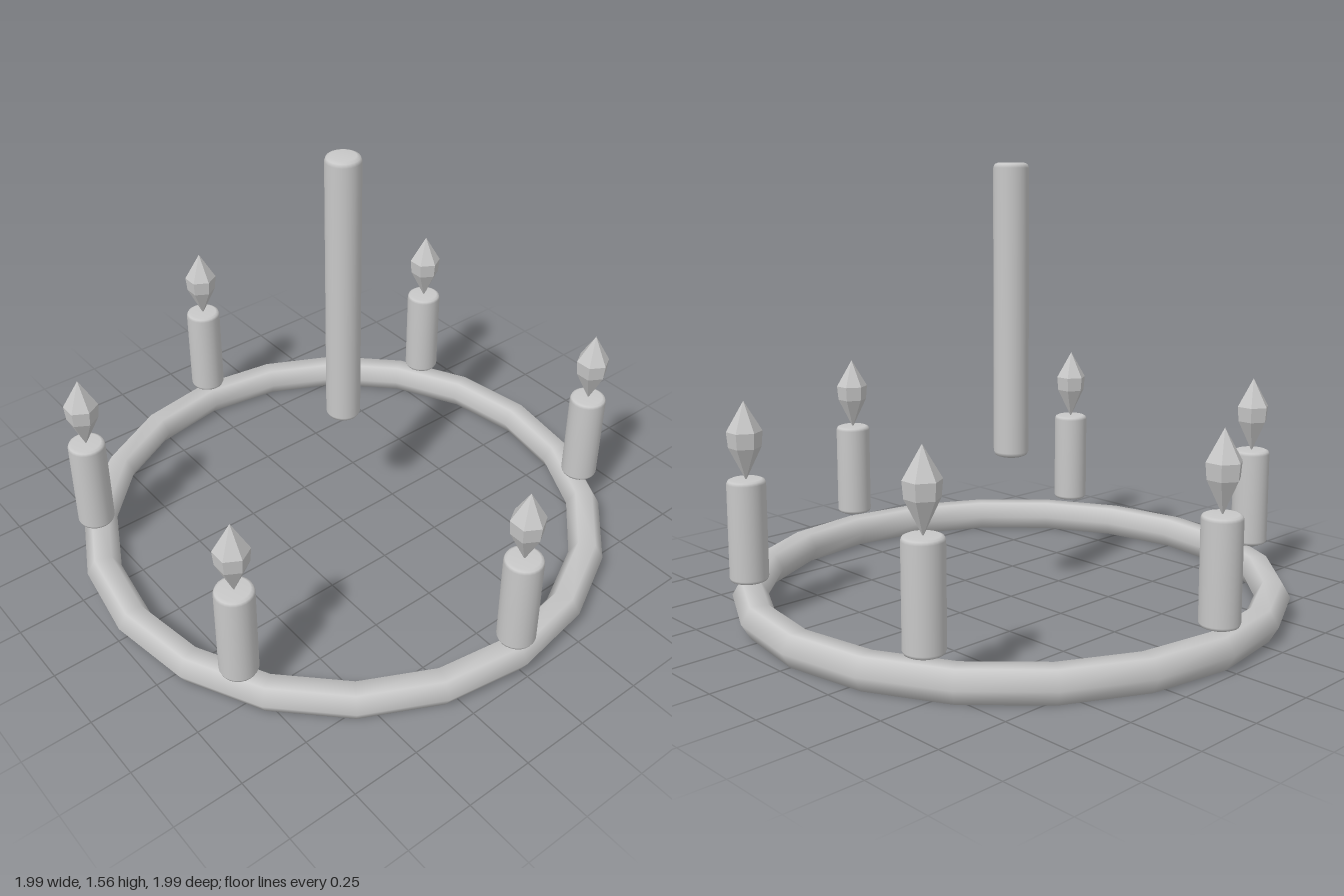
import * as THREE from 'three';

const grey = new THREE.MeshStandardMaterial({ color: 0xc8c8c8 });
grey.name = 'plainGrey';

function addPart(parent, name, geometry) {
  const mesh = new THREE.Mesh(geometry, grey);
  mesh.name = name;
  parent.add(mesh);
  return mesh;
}

// Round rod standing on y = 0 with softly bevelled rims
function rod(radius, height, bevel) {
  const profile = [
    [0, 0], [radius - bevel, 0], [radius - bevel * 0.3, bevel * 0.3], [radius, bevel],
    [radius, height - bevel], [radius - bevel * 0.3, height - bevel * 0.3],
    [radius - bevel, height], [0, height],
  ].map(([x, y]) => new THREE.Vector2(x, y));
  return new THREE.LatheGeometry(profile, 24);
}

// Six-sided faceted flame with its corners towards +x and -x
function flame() {
  const profile = [[0, 0], [0.056, 0.115], [0.061, 0.17], [0, 0.275]]
    .map(([x, y]) => new THREE.Vector2(x, y));
  const geometry = new THREE.LatheGeometry(profile, 6, Math.PI / 2).toNonIndexed();
  geometry.computeVertexNormals();
  return geometry;
}

export function createModel() {
  const model = new THREE.Group();
  model.name = 'candleChandelier';

  // Ring with a hexagonal section
  const ring = addPart(model, 'ring', new THREE.TorusGeometry(0.93, 0.063, 6, 20));
  ring.rotation.x = Math.PI / 2;
  ring.position.y = 0.0546;

  // Hanging post
  addPart(model, 'post', rod(0.062, 1.03, 0.018)).position.y = 0.527;

  // Six candles spaced around the ring
  const waxGeometry = rod(0.067, 0.36, 0.014);
  const flameGeometry = flame();
  for (let i = 0; i < 6; i++) {
    const angle = (i * Math.PI) / 3;
    const candle = new THREE.Group();
    candle.name = 'candle';
    candle.position.set(0.93 * Math.cos(angle), 0.137, 0.93 * Math.sin(angle));
    addPart(candle, 'wax', waxGeometry);
    addPart(candle, 'flame', flameGeometry).position.y = 0.355;
    model.add(candle);
  }
  return model;
}
